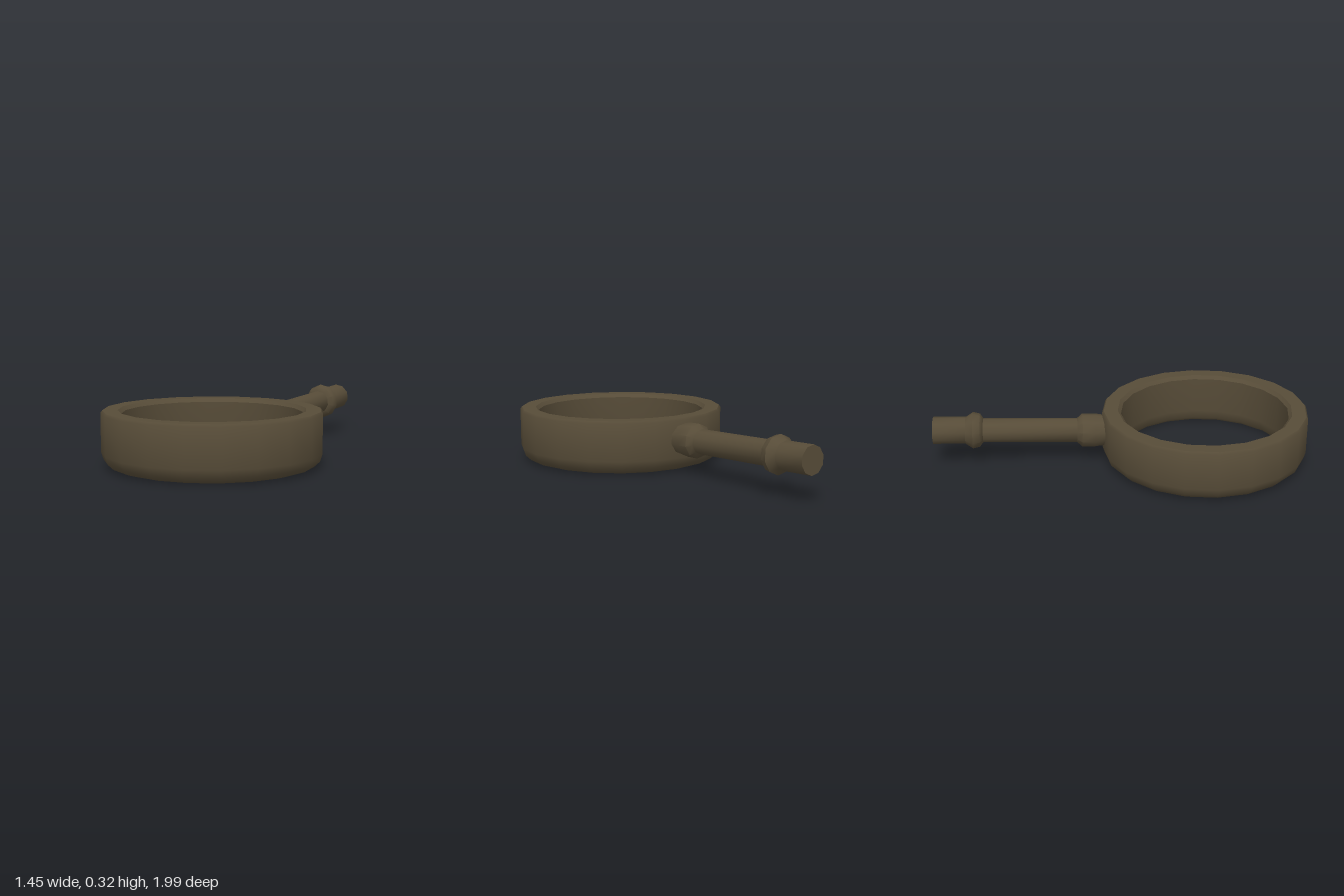
import * as THREE from 'three';
import { toCreasedNormals } from 'three/addons/utils/BufferGeometryUtils.js';

const bronze = new THREE.MeshStandardMaterial({ color: 0x574c38 });
bronze.name = 'dark bronze';

// Turned part from [radius, height] pairs, smooth except at sharp corners
function turned(name, profile, sides, start = 0) {
  const points = profile.map(([r, y]) => new THREE.Vector2(r, y));
  const geometry = new THREE.LatheGeometry(points, sides, start);
  const mesh = new THREE.Mesh(toCreasedNormals(geometry, 0.72), bronze);
  mesh.name = name;
  return mesh;
}

export function createModel() {
  const model = new THREE.Group();
  model.name = 'ringWithHandle';

  // Open ring with rounded lower edges and a lightly bevelled rim
  const ring = turned('ring', [
    [0.515, 0], [0.555, 0.012], [0.585, 0.04], [0.598, 0.08],
    [0.598, 0.292], [0.588, 0.305], [0.507, 0.305], [0.488, 0.285],
    [0.488, 0.07], [0.497, 0.02], [0.515, 0],
  ], 20, THREE.MathUtils.degToRad(6));
  ring.position.set(-0.132, 0, 0.4);
  model.add(ring);

  // Handle axis leaves the ring centre at 30 degrees, rising slightly
  const handle = new THREE.Group();
  handle.name = 'handle';
  handle.position.set(-0.132, 0.165, 0.4);
  const axis = new THREE.Vector3(0.5, 0.034, -0.866).normalize();
  handle.quaternion.setFromUnitVectors(new THREE.Vector3(0, 1, 0), axis);
  handle.add(
    turned('baseCollar', [[0, 0.53], [0.08, 0.53], [0.096, 0.64], [0.096, 0.715], [0.07, 0.745], [0, 0.745]], 10),
    turned('shaft', [[0.07, 0.7], [0.07, 1.32]], 10),
    turned('flange', [[0, 1.285], [0.07, 1.285], [0.096, 1.303], [0.106, 1.342], [0.078, 1.385], [0, 1.385]], 10),
    turned('endGrip', [[0.078, 1.36], [0.078, 1.57], [0, 1.57]], 10),
  );
  model.add(handle);
  return model;
}
